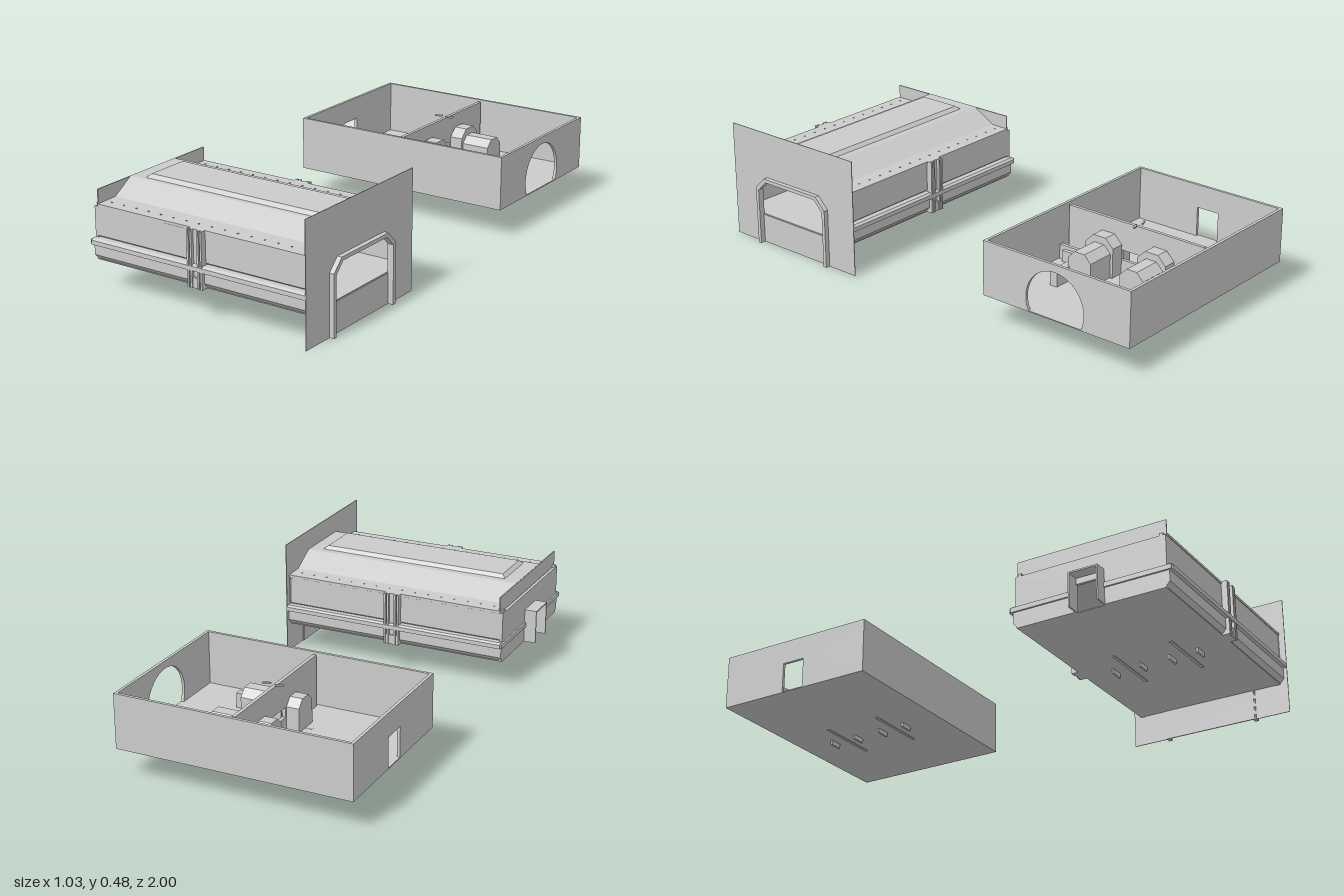
import * as THREE from 'three';

const grey = new THREE.MeshStandardMaterial({ color: 0xcccccc, flatShading: true, side: THREE.DoubleSide });

function add(parent, name, geo) {
  const mesh = new THREE.Mesh(geo, grey);
  mesh.name = name;
  parent.add(mesh);
  return mesh;
}

function box(parent, name, x0, x1, y0, y1, z0, z1) {
  const geo = new THREE.BoxGeometry(x1 - x0, y1 - y0, z1 - z0);
  geo.translate((x0 + x1) / 2, (y0 + y1) / 2, (z0 + z1) / 2);
  return add(parent, name, geo);
}

const poly = pts => new THREE.Shape(pts.map(p => new THREE.Vector2(p[0], p[1])));
const rect = (a, b, c, d) => poly([[a, c], [b, c], [b, d], [a, d]]);

// Extrude a (z, y) outline along x
function slab(parent, name, shape, x0, x1) {
  const geo = new THREE.ExtrudeGeometry(shape, { depth: x1 - x0, bevelEnabled: false, curveSegments: 24 });
  geo.rotateY(-Math.PI / 2).translate(x1, 0, 0);
  return add(parent, name, geo);
}

// Arch outline with chamfered upper corners
const arch = (w, y0, y1, c) => [[-w, y0], [-w, y1 - c], [-w + c, y1], [w - c, y1], [w, y1 - c], [w, y0]];

// Partition with hatch, and the two consoles; local z = 0 is the centreline
function cabin(name) {
  const g = new THREE.Group();
  g.name = name;
  const wall = rect(-0.31, 0.31, 0.12, 0.335);
  wall.holes.push(rect(-0.05, 0.06, 0.18, 0.22));
  slab(g, 'partition', wall, 0.002, 0.016);
  for (const z of [-0.12, 0.12]) {
    const c = new THREE.Group();
    c.name = 'console';
    c.position.z = z;
    slab(c, 'consoleBody', poly(arch(0.053, 0.12, 0.25, 0.03)), -0.05, 0.195);
    slab(c, 'consoleRing', poly(arch(0.064, 0.12, 0.278, 0.035)), 0.02, 0.075);
    for (const s of [-1, 1]) box(c, 'consoleFoot', 0.022, 0.078, 0.102, 0.125, s * 0.058 - 0.004, s * 0.058 + 0.004);
    box(c, 'consoleBase', -0.078, 0.188, 0.117, 0.125, -0.006, 0.006);
    g.add(c);
  }
  return g;
}

// Open-topped interior tray
function buildInterior() {
  const g = new THREE.Group();
  g.name = 'interior';
  g.position.z = -0.665;
  const h = 0.335, t = 0.012;
  box(g, 'interiorFloor', -0.47, 0.49, 0.12, 0.124, -h, h);
  for (const s of [-1, 1]) box(g, 'sideWall', -0.47, 0.49, 0.12, 0.34, s * (h - t / 2) - t / 2, s * (h - t / 2) + t / 2);
  // End wall with doorway
  slab(g, 'doorWall', poly([[-h, 0.12], [-0.052, 0.12], [-0.052, 0.245], [0.045, 0.245], [0.045, 0.12],
    [h, 0.12], [h, 0.34], [-h, 0.34]]), -0.47, -0.47 + t);
  // End wall with round entrance cut off by the floor
  const r = 0.132, cy = 0.178, a = Math.asin((cy - 0.12) / r);
  const round = new THREE.Shape();
  round.moveTo(-h, 0.12);
  round.lineTo(-r * Math.cos(a), 0.12);
  round.absarc(0, cy, r, Math.PI + a, -a, true);
  round.lineTo(h, 0.12);
  round.lineTo(h, 0.34);
  round.lineTo(-h, 0.34);
  slab(g, 'roundEntranceWall', round, 0.49 - t, 0.49);
  g.add(cabin('cabin'));
  // Small latches on the partition
  for (const x of [-0.015, 0.037]) {
    const m = add(g, 'latch', new THREE.BoxGeometry(0.032, 0.006, 0.007));
    m.position.set(x, 0.342, -0.015);
    m.rotation.y = 0.35;
  }
  // Curved corner counter and its stool
  const l = new THREE.Shape();
  l.moveTo(0.27, -0.165);
  l.lineTo(0.1, -0.165);
  l.quadraticCurveTo(0.045, -0.165, 0.045, -0.21);
  l.lineTo(0.045, -0.32);
  l.lineTo(0.06, -0.32);
  l.lineTo(0.06, -0.215);
  l.lineTo(0.085, -0.198);
  l.lineTo(0.27, -0.198);
  // Shape y is measured towards the back, so turn it face up
  const geo = new THREE.ExtrudeGeometry(l, { depth: 0.06, bevelEnabled: false });
  geo.rotateX(Math.PI / 2).translate(0, 0.184, 0);
  geo.scale(1, 1, -1);
  const index = add(g, 'counter', geo);
  index.geometry.computeVertexNormals();
  box(g, 'stool', 0.036, 0.076, 0.124, 0.17, 0.24, 0.295);
  return g;
}

// Armoured outer shell
function buildExterior() {
  const g = new THREE.Group();
  g.name = 'exterior';
  g.position.z = 0.665;
  box(g, 'hullFloor', -0.46, 0.49, 0.12, 0.124, -0.305, 0.305);
  // Long sides, mirrored front and back
  for (const s of [1, -1]) {
    const side = new THREE.Group();
    side.name = s > 0 ? 'frontSide' : 'backSide';
    side.rotation.y = s > 0 ? 0 : Math.PI;
    const X = (a, b) => s > 0 ? [a, b] : [-b, -a];
    slab(side, 'wall', poly([[0.285, 0.12], [0.3, 0.12], [0.32, 0.142], [0.32, 0.186], [0.335, 0.186], [0.335, 0.203],
      [0.325, 0.21], [0.298, 0.21], [0.298, 0.34], [0.285, 0.34]]), ...X(-0.47, 0.493));
    // Frame around the four recessed panels
    const frame = rect(...X(-0.465, 0.493), 0.21, 0.336);
    for (const [a, b] of [[-0.453, -0.252], [-0.224, -0.03], [0.055, 0.255], [0.282, 0.485]])
      frame.holes.push(rect(...X(a, b), 0.225, 0.322));
    const geo = new THREE.ExtrudeGeometry(frame, { depth: 0.004, bevelEnabled: true, bevelThickness: 0.009,
      bevelSize: 0.007, bevelOffset: -0.007, bevelSegments: 1 });
    add(side, 'panelFrame', geo.translate(0, 0, 0.297));
    // Centre pillar with ribs
    box(side, 'pillar', ...X(-0.022, 0.045), 0.14, 0.34, 0.3, 0.322);
    for (const x of [-0.022, -0.008, 0.023, 0.037])
      box(side, 'pillarRib', ...X(x, x + 0.008), 0.12, 0.34, 0.3, 0.334);
    box(side, 'pillarFoot', ...X(-0.015, 0.04), 0.12, 0.16, 0.3, 0.33);
    // Rivets along the roof ledge
    for (let i = 0; i < 16; i++) {
      const x = -0.42 + i * 0.058;
      box(side, 'rivet', ...X(x, x + 0.005), 0.339, 0.343, 0.27, 0.275);
    }
    g.add(side);
  }
  // Roof with ledges, slopes and a raised bevelled panel
  slab(g, 'roof', poly([[-0.312, 0.33], [0.312, 0.33], [0.312, 0.34], [0.215, 0.342], [0.127, 0.397],
    [-0.133, 0.397], [-0.23, 0.342], [-0.312, 0.34]]), -0.455, 0.493);
  const raised = new THREE.BoxGeometry(0.83, 0.014, 0.21);
  const p = raised.attributes.position;
  for (let i = 0; i < p.count; i++)
    if (p.getY(i) > 0) p.setXYZ(i, p.getX(i) * 0.963, p.getY(i), p.getZ(i) * 0.86);
  raised.computeVertexNormals();
  add(g, 'raisedRoofPanel', raised).position.set(0.022, 0.404, 0.003);
  box(g, 'roofEndPlate', -0.457, -0.452, 0.33, 0.396, -0.308, 0.308);

  // Rear end wall with doorway and trim
  slab(g, 'endWall', poly([[-0.305, 0.12], [-0.055, 0.12], [-0.055, 0.23], [0.055, 0.23], [0.055, 0.12],
    [0.305, 0.12], [0.31, 0.14], [0.31, 0.33], [-0.31, 0.33], [-0.31, 0.14]]), -0.47, -0.458);
  for (const s of [-1, 1]) {
    const Z = (a, b) => s > 0 ? [a, b] : [-b, -a];
    box(g, 'endLip', -0.477, -0.46, 0.186, 0.205, ...Z(0.06, 0.33));
    box(g, 'porchSide', -0.52, -0.465, 0.12, 0.26, ...Z(0.055, 0.061));
  }
  box(g, 'porchRoof', -0.52, -0.465, 0.254, 0.26, -0.061, 0.061);

  // Tall gateway panel, its sill and the arch frame
  slab(g, 'gatePanel', poly([[-0.335, 0], ...arch(0.185, 0, 0.28, 0.045), [0.335, 0], [0.335, 0.48], [-0.335, 0.48]]), 0.493, 0.496);
  box(g, 'gateSill', 0.488, 0.493, 0, 0.12, -0.19, 0.19);
  slab(g, 'gateFrame', poly([...arch(0.195, 0, 0.29, 0.048), ...arch(0.18, 0, 0.275, 0.042).reverse()]), 0.49, 0.515);
  g.add(cabin('innerCabin'));
  return g;
}

export function createModel() {
  const model = new THREE.Group();
  model.name = 'transportModel';
  model.add(buildInterior(), buildExterior());
  return model;
}
